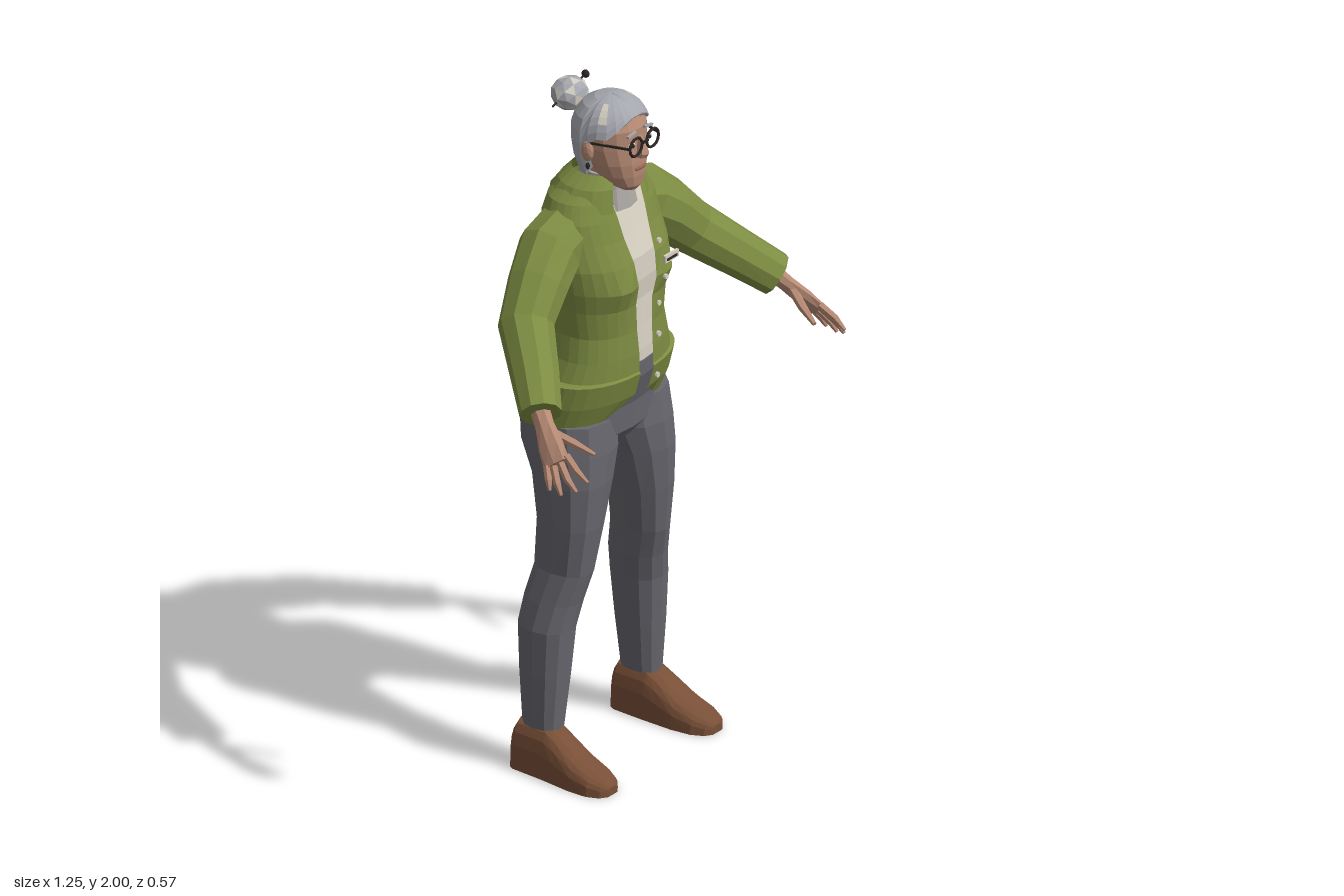
import * as THREE from 'three';

const V = (x, y, z) => new THREE.Vector3(x, y, z);
const mat = (name, hex, side = THREE.FrontSide) => {
  const m = new THREE.MeshStandardMaterial({ color: hex, side });
  m.name = name;
  return m;
};

// flat-shaded surface through rows of points; pick(i, j) chooses a material slot
function sheet(rows, { closed = true, caps = closed, pick = () => 0 } = {}) {
  const pos = rows.flat().flatMap(p => [p.x, p.y, p.z]);
  const n = rows[0].length, slots = [[], []];
  for (let i = 0; i < rows.length - 1; i++)
    for (let j = 0; j < (closed ? n : n - 1); j++) {
      const k = (j + 1) % n, a = i * n + j, b = i * n + k;
      slots[pick(i, j)].push(a, b, b + n, a, b + n, a + n);
    }
  if (caps) {
    const e = (rows.length - 1) * n;
    for (let j = 1; j < n - 1; j++) slots[0].push(0, j + 1, j, e, e + j, e + j + 1);
  }
  let g = new THREE.BufferGeometry();
  g.setAttribute('position', new THREE.Float32BufferAttribute(pos, 3));
  g.setIndex(slots.flat());
  g = g.toNonIndexed();
  g.addGroup(0, slots[0].length, 0);
  if (slots[1].length) g.addGroup(slots[0].length, slots[1].length, 1);
  g.computeVertexNormals();
  return g;
}
const mirror = rows => rows.map(r => r.map(p => V(-p.x, p.y, p.z)).reverse());
const sided = (rows, s) => (s < 0 ? mirror(rows) : rows);

// squarish ring at height y, angle 0 at the front
const pw = (v, e) => Math.sign(v) * Math.abs(v) ** e;
const around = (y, rx, zf, zb, a, cx = 0, e = 0.88) =>
  V(cx + rx * pw(Math.sin(a), e), y, (zf + zb) / 2 + (zf - zb) / 2 * pw(Math.cos(a), e));
const ring = (y, rx, zf, zb, n, cx = 0, e) =>
  Array.from({ length: n }, (_, j) => around(y, rx, zf, zb, j / n * Math.PI * 2, cx, e));

// tapered limb along a path, radii given as [ra, rb]
function limb(path, radii, n, ref = V(0, 0, 1)) {
  const pts = path.map(p => V(...p));
  return pts.map((c, i) => {
    const t = pts[Math.min(i + 1, pts.length - 1)].clone().sub(pts[Math.max(i - 1, 0)]).normalize();
    const u = ref.clone().cross(t).normalize(), v = t.clone().cross(u), [ra, rb] = radii[i];
    return Array.from({ length: n }, (_, j) => {
      const a = j / n * Math.PI * 2;
      return c.clone().addScaledVector(u, ra * Math.cos(a)).addScaledVector(v, rb * Math.sin(a));
    });
  });
}

// jacket body: y, half width, front z, back z, half opening
const BODY = [
  [1.05, 0.235, 0.0, -0.285, 0.045], [1.12, 0.24, 0.03, -0.28, 0.03], [1.19, 0.236, 0.05, -0.262, 0.03],
  [1.195, 0.212, 0.045, -0.24, 0.03], [1.25, 0.19, 0.045, -0.215, 0.03], [1.32, 0.175, 0.04, -0.215, 0.033],
  [1.4, 0.183, 0.036, -0.225, 0.036], [1.46, 0.193, 0.042, -0.23, 0.04], [1.53, 0.2, 0.038, -0.235, 0.046],
  [1.6, 0.195, 0.015, -0.24, 0.055], [1.66, 0.188, -0.003, -0.24, 0.06], [1.71, 0.16, -0.02, -0.23, 0.064],
  [1.75, 0.105, -0.03, -0.2, 0.06], [1.77, 0.08, -0.035, -0.185, 0.055]];
function bodyPoint([y, rx, zf, zb], a) {
  const p = around(y, rx, zf, zb, a);
  if (Math.cos(a) > 0) {                                   // bust and rounded front hem
    p.z += 0.026 * Math.exp(-(((Math.abs(p.x) - 0.1) / 0.06) ** 2) - ((y - 1.46) / 0.06) ** 2);
    if (y < 1.06) p.y += 0.06 * Math.max(0, 1 - (Math.abs(p.x) - 0.03) / 0.13) ** 2;
  } else if (y < 1.2) p.z += 0.022 * Math.exp(-((p.x / 0.03) ** 2));
  return p;
}
function frontZ(x, y) {
  const i = BODY.findIndex(r => r[0] > y), A = BODY[i - 1], B = BODY[i], t = (y - A[0]) / (B[0] - A[0]);
  const row = A.map((v, k) => v + (B[k] - v) * t);
  return bodyPoint(row, Math.asin(Math.min(1, (x / row[1]) ** (1 / 0.88)))).z;
}

export function createModel() {
  const root = new THREE.Group();
  const green = mat('jacketGreen', 0x7d8c42, THREE.DoubleSide), trousers = mat('trouserGrey', 0x67676e);
  const brown = mat('shoeBrown', 0x784f37), skin = mat('skin', 0xb68a74), cream = mat('shirtCream', 0xd8d1c3);
  const grey = mat('hairGrey', 0xa5a7ae, THREE.DoubleSide), pale = mat('hairPale', 0xcfcabd, THREE.DoubleSide);
  const knit = mat('collarGrey', 0xaaa6a2), dark = mat('dark', 0x2b2522), lip = mat('lip', 0x95604f);
  const add = (name, g, m, x = 0, y = 0, z = 0) => {
    const o = new THREE.Mesh(g, m);
    o.name = name;
    o.position.set(x, y, z);
    root.add(o);
    return o;
  };
  const flat = g => { const f = g.index ? g.toNonIndexed() : g; f.computeVertexNormals(); return f; };
  const ball = (rx, ry, rz, d = 1) => flat(new THREE.IcosahedronGeometry(1, d).scale(rx, ry, rz));

  // jacket, open at the front
  const N = 30;
  add('jacket', sheet(BODY.map(r => {
    const a0 = Math.asin((r[4] / r[1]) ** (1 / 0.88));
    return Array.from({ length: N + 1 }, (_, j) => bodyPoint(r, a0 + (Math.PI * 2 - 2 * a0) * j / N));
  }), { closed: false }), green);
  // collar lying over the shoulders, with pointed front ends
  add('jacketCollar', sheet([[1.715, 0.145, 0.004, -0.238], [1.745, 0.122, -0.01, -0.215], [1.775, 0.08, -0.03, -0.188]]
    .map(([y, rx, zf, zb], i) => Array.from({ length: 21 }, (_, j) => {
      const a = 0.5 + (Math.PI * 2 - 1) * j / 20, p = around(y, rx, zf, zb, a);
      if (i === 0) p.y -= 0.04 * Math.max(0, Math.cos(a)) + (j % 2) * 0.006;
      return p;
    })), { closed: false }), green);
  // shirt, roll neck and hips inside the jacket
  add('shirt', sheet(BODY.slice(3, 12).map(([y, rx, zf, zb]) =>
    ring(Math.max(y, 1.21), rx - 0.02, zf - 0.012, zb + 0.025, 16))), cream);
  add('rollNeck', sheet([ring(1.67, 0.08, -0.008, -0.18, 12), ring(1.73, 0.068, -0.02, -0.168, 12),
    ring(1.775, 0.066, -0.025, -0.165, 12)]), knit);
  add('hips', sheet([ring(0.96, 0.1, -0.03, -0.2, 16), ring(1.0, 0.2, 0.0, -0.24, 16), ring(1.08, 0.225, 0.005, -0.262, 16),
    ring(1.17, 0.21, 0.036, -0.24, 16), ring(1.215, 0.175, 0.038, -0.2, 16)]), trousers);
  // buttons and badge
  [[0.075, 1.55], [0.07, 1.45], [0.065, 1.365], [0.058, 1.275], [0.055, 1.15]].forEach(([x, y]) =>
    add('button', flat(new THREE.CylinderGeometry(0.008, 0.008, 0.008, 8).rotateX(Math.PI / 2)), cream, x, y, frontZ(x, y) + 0.004));
  const bz = frontZ(0.105, 1.495) + 0.006;
  add('badge', new THREE.BoxGeometry(0.06, 0.022, 0.008), cream, 0.105, 1.495, bz);
  add('badgeStripe', new THREE.BoxGeometry(0.045, 0.007, 0.004), dark, 0.105, 1.493, bz + 0.004);

  for (const s of [1, -1]) {
    const part = (name, rows, m) => add((s > 0 ? 'left' : 'right') + name, sheet(sided(rows, s)), m);
    // trouser leg: y, centre x, half width, front z, back z
    part('Leg', [[0.14, 0.22, 0.046, -0.08, -0.2], [0.3, 0.213, 0.06, -0.066, -0.212], [0.44, 0.206, 0.068, -0.056, -0.22],
      [0.52, 0.188, 0.066, -0.042, -0.213], [0.61, 0.17, 0.06, -0.018, -0.195], [0.75, 0.157, 0.077, 0, -0.19],
      [0.88, 0.14, 0.1, 0.01, -0.212], [0.97, 0.123, 0.118, 0.01, -0.258], [1.06, 0.118, 0.115, 0.0, -0.268]]
      .map(([y, cx, rx, zf, zb]) => ring(y, rx, zf, zb, 12, cx)), trousers);
    // shoe: z, centre x, half width, height
    part('Shoe', [[-0.215, 0.225, 0.046, 0.125], [-0.2, 0.225, 0.054, 0.15], [-0.1, 0.226, 0.058, 0.15], [-0.06, 0.228, 0.06, 0.125],
      [0, 0.231, 0.063, 0.085], [0.06, 0.234, 0.058, 0.058], [0.095, 0.235, 0.042, 0.043], [0.11, 0.235, 0.02, 0.028]]
      .map(([z, cx, w, h]) => Array.from({ length: 10 }, (_, j) => {
        const a = j / 9 * Math.PI;
        return V(cx + w * pw(Math.cos(a), 0.65), 0.003 + (h - 0.003) * Math.sin(a) ** 0.65, z);
      })), brown);
    // sleeve
    part('Sleeve', limb([[0.1, 1.625, -0.13], [0.205, 1.58, -0.13], [0.285, 1.52, -0.108], [0.372, 1.435, -0.083],
      [0.455, 1.352, 0.01], [0.527, 1.28, 0.086]],
    [[0.085, 0.09], [0.098, 0.09], [0.088, 0.085], [0.077, 0.078], [0.068, 0.068], [0.062, 0.058]], 10), green);
    // hand with four fingers and a thumb
    part('Palm', limb([[0.515, 1.295, 0.07], [0.54, 1.255, 0.11], [0.565, 1.215, 0.15], [0.585, 1.18, 0.185]],
      [[0.028, 0.03], [0.022, 0.03], [0.02, 0.04], [0.014, 0.042]], 8), skin);
    [[[0.568, 1.205, 0.205], [0.578, 1.175, 0.25], [0.576, 1.15, 0.285]],
      [[0.585, 1.188, 0.198], [0.6, 1.152, 0.235], [0.6, 1.125, 0.265]],
      [[0.592, 1.175, 0.18], [0.612, 1.138, 0.208], [0.618, 1.11, 0.226]],
      [[0.595, 1.172, 0.16], [0.612, 1.14, 0.178], [0.62, 1.115, 0.188]],
      [[0.54, 1.245, 0.13], [0.512, 1.215, 0.19], [0.492, 1.19, 0.245]]].forEach((p, i) => {
      const r = i === 4 ? 0.014 : 0.0115;
      part(i === 4 ? 'Thumb' : 'Finger', limb(p, [[r, r], [r * 0.9, r * 0.9], [r * 0.45, r * 0.45]], 6, V(1, 0, 0)), skin);
    });
    // ear, earring, eye, brow and spectacles
    add('ear', ball(0.013, 0.032, 0.02), skin, s * 0.101, 1.86, -0.08);
    add('earring', ball(0.007, 0.012, 0.007, 0), dark, s * 0.106, 1.818, -0.075);
    add('eye', ball(0.015, 0.008, 0.006), cream, s * 0.037, 1.882, 0.023);
    add('pupil', ball(0.006, 0.006, 0.004), dark, s * 0.037, 1.882, 0.028);
    add('brow', new THREE.BoxGeometry(0.035, 0.006, 0.008), grey, s * 0.037, 1.915, 0.023).rotation.z = -s * 0.15;
    add('lensRim', flat(new THREE.TorusGeometry(0.027, 0.0042, 5, 14)), dark, s * 0.037, 1.882, 0.038);
    add('spectacleArm', new THREE.BoxGeometry(0.005, 0.006, 0.122), dark, s * 0.084, 1.886, -0.022).rotation.y = -s * 0.3;
  }
  add('spectacleBridge', new THREE.BoxGeometry(0.022, 0.006, 0.006), dark, 0, 1.887, 0.042);

  // neck, head and face
  add('neck', sheet([ring(1.7, 0.056, -0.035, -0.155, 10), ring(1.82, 0.06, -0.03, -0.15, 10)]), skin);
  add('head', sheet([[1.732, 0.026, 0.01, -0.04], [1.748, 0.048, 0.022, -0.075], [1.78, 0.07, 0.027, -0.12], [1.82, 0.086, 0.028, -0.14],
    [1.865, 0.095, 0.025, -0.165], [1.92, 0.096, 0.022, -0.17], [1.965, 0.076, 0.0, -0.14]]
    .map(([y, rx, zf, zb]) => ring(y, rx, zf, zb, 16, 0, 1))), skin);
  add('nose', sheet([ring(1.838, 0.016, 0.046, 0.01, 6), ring(1.85, 0.017, 0.053, 0.01, 6), ring(1.9, 0.008, 0.028, 0.01, 6)]), skin);
  add('mouth', ball(0.026, 0.006, 0.007), lip, 0, 1.803, 0.025);

  // hair cap with a hairline that drops behind the ears, pale streaks
  const H = 24, rows = [];
  const hairline = a => {
    const d = Math.abs(a > Math.PI ? Math.PI * 2 - a : a);
    return d < 0.9 ? 1.96 - 0.045 * (d / 0.9) ** 2 : d < 1.5 ? 1.905 : d < 1.8 ? 1.885 : 1.775 + 0.01 * Math.cos(d);
  };
  for (let i = 7; i >= 0; i--) rows.push(Array.from({ length: H }, (_, j) => {
    const a = j / H * Math.PI * 2, t = Math.max(i / 7, 0.01);
    const y = 2 - (2 - hairline(a)) * t ** 1.7, k = (y - 1.885) / 0.115;
    const r = k > 0 ? Math.sqrt(Math.max(0, 1 - k ** 2.4)) : 1 - 0.22 * k * k;
    return V(0.108 * r * Math.sin(a), y - (j === 0 ? 0.004 : 0), -0.077 + 0.111 * r * Math.cos(a));
  }));
  const streaks = [4, 10, 13, 19];
  add('hair', sheet(rows, { pick: (i, j) => (streaks.includes(j) && i > 1 && i < 5 ? 1 : 0) }), [grey, pale]);

  // bun with pale strands, and a hairpin
  const bun = ball(0.056, 0.048, 0.052);
  for (let i = 0; i < 80; i++) bun.addGroup(i * 3, 3, i % 4 === 1 ? 1 : 0);
  add('bun', bun, [grey, pale], 0, 1.955, -0.218);
  add('hairpin', flat(new THREE.CylinderGeometry(0.003, 0.003, 0.15, 5).rotateZ(-1.3)), dark, 0.005, 1.957, -0.225);
  add('hairpinHead', ball(0.01, 0.012, 0.012), dark, 0.08, 1.978, -0.225);
  return root;
}
